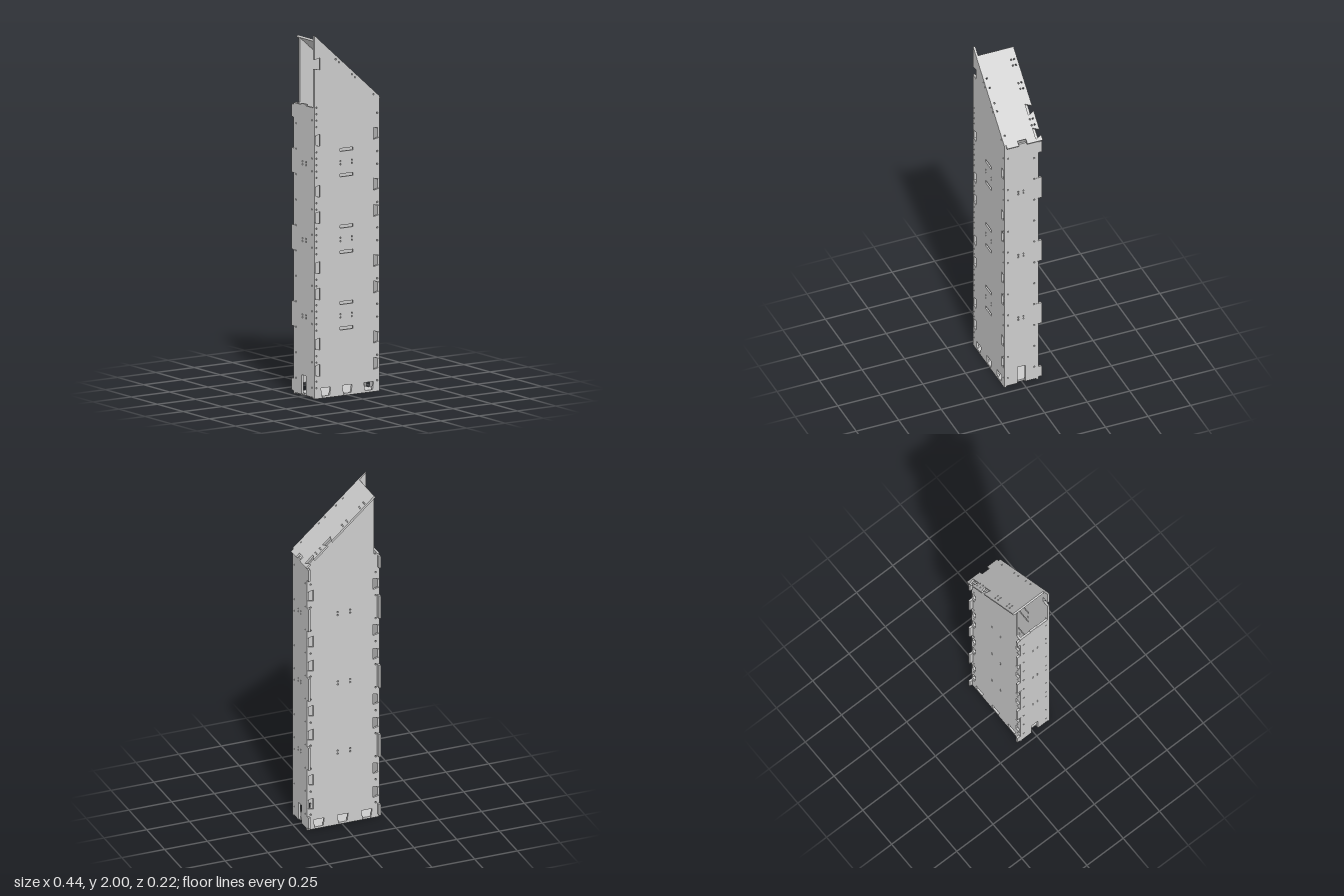
import * as THREE from 'three';

const T = 0.012;                      // sheet thickness
const SLOPE = 0.89;                   // drop of the slanted top per unit x
const C = 1 / Math.hypot(1, SLOPE), S = SLOPE * C;
const topY = (x) => 2 - SLOPE * (x + 0.22);
const jointYs = [0.155, 0.3, 0.575, 0.72, 0.995, 1.14, 1.42];   // dovetail heights
const stripYs = [0.44, 0.86, 1.282];                            // long tab heights

const mat = new THREE.MeshStandardMaterial({ color: 0xcccccc, flatShading: true });

// Points along an edge; each cut is {at, w, inner, d}: d > 0 notches inward, d < 0 makes a tab
function edge(a, b, cuts = []) {
  const len = Math.hypot(b[0] - a[0], b[1] - a[1]);
  const ux = (b[0] - a[0]) / len, uy = (b[1] - a[1]) / len;
  const at = (s, d) => [a[0] + ux * s - uy * d, a[1] + uy * s + ux * d];
  const pts = [a];
  for (const { at: m, w, inner = w, d } of [...cuts].sort((p, q) => p.at - q.at)) {
    pts.push(at(m - w / 2, 0), at(m - inner / 2, d), at(m + inner / 2, d), at(m + w / 2, 0));
  }
  return pts;
}

// Rectangular or small diamond-free hole given by centre and size
const hole = (x, y, w = 0.008, h = w) => [
  [x - w / 2, y - h / 2], [x - w / 2, y + h / 2], [x + w / 2, y + h / 2], [x + w / 2, y - h / 2]];

// Square group of four fixing holes
const fourHoles = (x, y, dx, dy) =>
  [[-1, -1], [1, -1], [-1, 1], [1, 1]].map(([i, j]) => hole(x + i * dx, y + j * dy));

// Row of fixing holes up an edge, skipping the joints
function holeColumn(x, y0, y1, step) {
  const out = [];
  for (let y = y0; y < y1; y += step) {
    if (jointYs.every((j) => Math.abs(y - j) > 0.045)) out.push(hole(x, y));
  }
  return out;
}

function sheet(name, pts, holes = []) {
  const v = (p) => new THREE.Vector2(p[0], p[1]);
  const shape = new THREE.Shape(pts.map(v));
  shape.holes = holes.map((h) => new THREE.Path(h.map(v)));
  const mesh = new THREE.Mesh(
    new THREE.ExtrudeGeometry(shape, { depth: T, bevelEnabled: false }), mat);
  mesh.name = name;
  return mesh;
}

// Dovetail notches shared by front and back panels
const sideNotches = (toS) => jointYs.map((y) => ({ at: toS(y), w: 0.05, inner: 0.066, d: 0.038 }));
const footNotches = [-0.145, -0.005, 0.135].map((x) => ({ at: x + 0.22, w: 0.046, inner: 0.064, d: 0.056 }));

export function createModel() {
  const model = new THREE.Group();
  model.name = 'tower';

  // Front panel with slanted top edge
  const slots = stripYs.flatMap((y) => [
    ...[-0.07, 0.07].map((d) => hole(-0.01, y + d, 0.085, 0.016)),
    ...fourHoles(-0.012, y, 0.037, 0.009)]);
  const slopeHoles = [-0.08, -0.06, 0.025, 0.045, 0.165].map((x) => hole(x, topY(x) - 0.022));
  const front = sheet('frontPanel', [
    ...edge([-0.22, 0], [0.205, 0], footNotches),
    ...edge([0.205, 0], [0.205, topY(0.205)], sideNotches((y) => y)),
    ...edge([0.205, topY(0.205)], [-0.22, 2]),
    ...edge([-0.22, 2], [-0.22, 0], [
      ...sideNotches((y) => 2 - y), { at: 0.16, w: 0.05, inner: 0.066, d: 0.038 }]),
  ], [...slots, ...slopeHoles,
    ...holeColumn(-0.206, 0.06, 1.6, 0.035), ...holeColumn(0.19, 0.06, 1.58, 0.07)]);
  front.position.z = 0.098;
  model.add(front);

  // Back panel, stepped in above the short side and ending under the lid
  const under = (x) => topY(x) - T / C;
  const longNotches = (toS) => stripYs.map((y) => ({ at: toS(y), w: 0.138, d: 0.014 }));
  const back = sheet('backPanel', [
    ...edge([-0.22, 0], [0.205, 0], footNotches),
    ...edge([0.205, 0], [0.205, under(0.205)], [...sideNotches((y) => y), ...longNotches((y) => y)]),
    [0.205, under(0.205)], [-0.187, under(-0.187)], [-0.187, 1.6],
    ...edge([-0.22, 1.6], [-0.22, 0], [
      ...sideNotches((y) => 1.6 - y), ...longNotches((y) => 1.6 - y)]),
  ], [...stripYs.flatMap((y) => fourHoles(-0.012, y, 0.037, 0.009)),
    ...holeColumn(-0.197, 0.09, 1.56, 0.14), ...holeColumn(0.183, 0.09, 1.56, 0.14)]);
  back.position.z = -0.09;
  model.add(back);

  // Side panels: dovetail tabs into front and back, long tabs past the back
  const smallTabs = (toS) => jointYs.map((y) => ({ at: toS(y), w: 0.05, d: -T }));
  for (const [name, x] of [['leftPanel', 0.205], ['rightPanel', -0.208]]) {
    const side = sheet(name, [
      ...edge([-0.078, 0.008], [0.098, 0.008], [{ at: 0.087, w: 0.045, d: 0.107 }]),
      ...edge([0.098, 0.008], [0.098, 1.6], smallTabs((y) => y - 0.008)),
      ...edge([0.098, 1.6], [-0.078, 1.6], [{ at: 0.093, w: 0.048, d: -0.008 }]),
      ...edge([-0.078, 1.6], [-0.078, 0.008], [
        ...smallTabs((y) => 1.6 - y),
        ...[...stripYs].map((y) => ({ at: 1.6 - y, w: 0.136, d: -0.032 })),
        { at: 0.045, w: 0.07, d: -0.032 }, { at: 1.55, w: 0.066, d: -0.032 }]),
    ], [...stripYs.flatMap((y) => fourHoles(0.013, y, 0.016, 0.008)),
      ...holeColumn(0.088, 0.06, 1.58, 0.07), ...holeColumn(-0.066, 0.09, 1.58, 0.14)]);
    side.rotation.y = -Math.PI / 2;
    side.position.x = x;
    model.add(side);
  }

  // Floor with tabs into the foot notches
  const footTabs = (toS) => [-0.145, -0.005, 0.135].map((x) => ({ at: toS(x), w: 0.046, d: -T }));
  const floor = sheet('floor', [
    ...edge([-0.207, -0.078], [0.193, -0.078], footTabs((x) => x + 0.207)),
    ...edge([0.193, -0.078], [0.193, 0.098], [{ at: 0.087, w: 0.045, d: 0.008 }]),
    ...edge([0.193, 0.098], [-0.207, 0.098], footTabs((x) => 0.193 - x)),
    ...edge([-0.207, 0.098], [-0.207, -0.078], [{ at: 0.089, w: 0.045, d: 0.008 }]),
  ]);
  floor.rotation.x = Math.PI / 2;
  floor.position.y = T;
  model.add(floor);

  // Slanted lid, drawn in its own plane (u runs down the slope, v towards the back)
  const u = (x) => (x + 0.18) / C;
  const L = u(0.22);
  const lid = sheet('lid', [
    ...edge([0, -0.098], [L, -0.098]),
    ...edge([L, -0.098], [L, 0.11], [{ at: 0.093, w: 0.05, d: 0.028 }]),
    ...edge([L, 0.11], [0, 0.11], [0.084, 0.186].map((x) => (
      { at: L - u(x), w: 0.03, inner: 0.064, d: 0.036 }))),
    [0, 0.11],
  ], [
    ...[-0.13, -0.105, -0.03, -0.005, 0.125, 0.15].flatMap((x) => [0.075, 0.092].map((v) => hole(u(x), v))),
    ...[-0.08, -0.04, 0.025, 0.06, 0.165].map((x) => hole(u(x), -0.09)),
  ]);
  lid.quaternion.setFromRotationMatrix(new THREE.Matrix4().makeBasis(
    new THREE.Vector3(C, -S, 0), new THREE.Vector3(0, 0, -1), new THREE.Vector3(S, C, 0)));
  lid.position.set(-0.18 - S * T, topY(-0.18) - C * T, 0);
  model.add(lid);

  return model;
}
